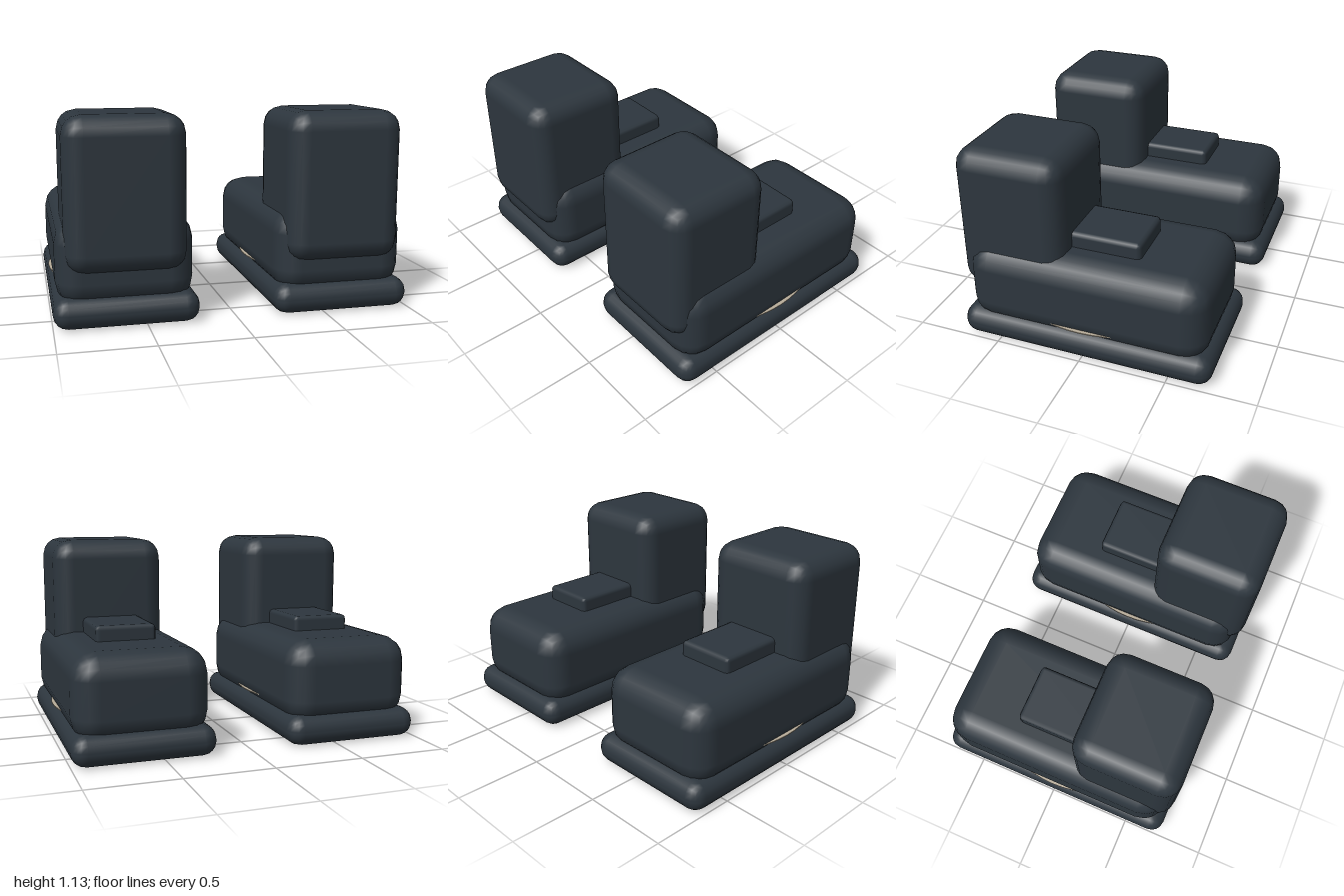
import * as THREE from 'three';
import { RoundedBoxGeometry } from 'three/addons/geometries/RoundedBoxGeometry.js';

const slate = new THREE.MeshStandardMaterial({ color: 0x2d363e });
slate.name = 'dark slate';
const tan = new THREE.MeshStandardMaterial({ color: 0xb8ad9a });
tan.name = 'pale tan';

// Rounded block given by its [min, max] extents on each axis
function block(name, [x0, x1], [y0, y1], [z0, z1], radius, segments) {
  const geometry = new RoundedBoxGeometry(x1 - x0, y1 - y0, z1 - z0, segments, radius);
  const mesh = new THREE.Mesh(geometry, slate);
  mesh.position.set((x0 + x1) / 2, (y0 + y1) / 2, (z0 + z1) / 2);
  mesh.name = name;
  return mesh;
}

// One boot, centred on x = 0
function createBoot(name) {
  const boot = new THREE.Group();
  boot.name = name;
  boot.add(
    block('sole', [-0.395, 0.395], [0, 0.17], [-0.74, 0.725], 0.08, 2),
    block('foot', [-0.375, 0.375], [0.1, 0.585], [-0.7, 0.69], 0.14, 2),
    block('shaft', [-0.328, 0.328], [0.29, 1.13], [0.115, 0.74], 0.11, 2),
    block('tongue', [-0.173, 0.173], [0.5, 0.672], [-0.28, 0.3], 0.025, 1),
  );

  // Thin welt that just breaks through the sides of the foot
  const welt = new THREE.Mesh(new THREE.CylinderGeometry(1, 1, 0.006, 48), tan);
  welt.scale.set(0.385, 1, 0.53);
  welt.position.y = 0.186;
  welt.name = 'welt';
  boot.add(welt);
  return boot;
}

export function createModel() {
  const model = new THREE.Group();
  model.name = 'boots';
  for (const [name, side] of [['leftBoot', 1], ['rightBoot', -1]]) {
    const boot = createBoot(name);
    boot.position.x = side * 0.605;
    model.add(boot);
  }
  return model;
}
